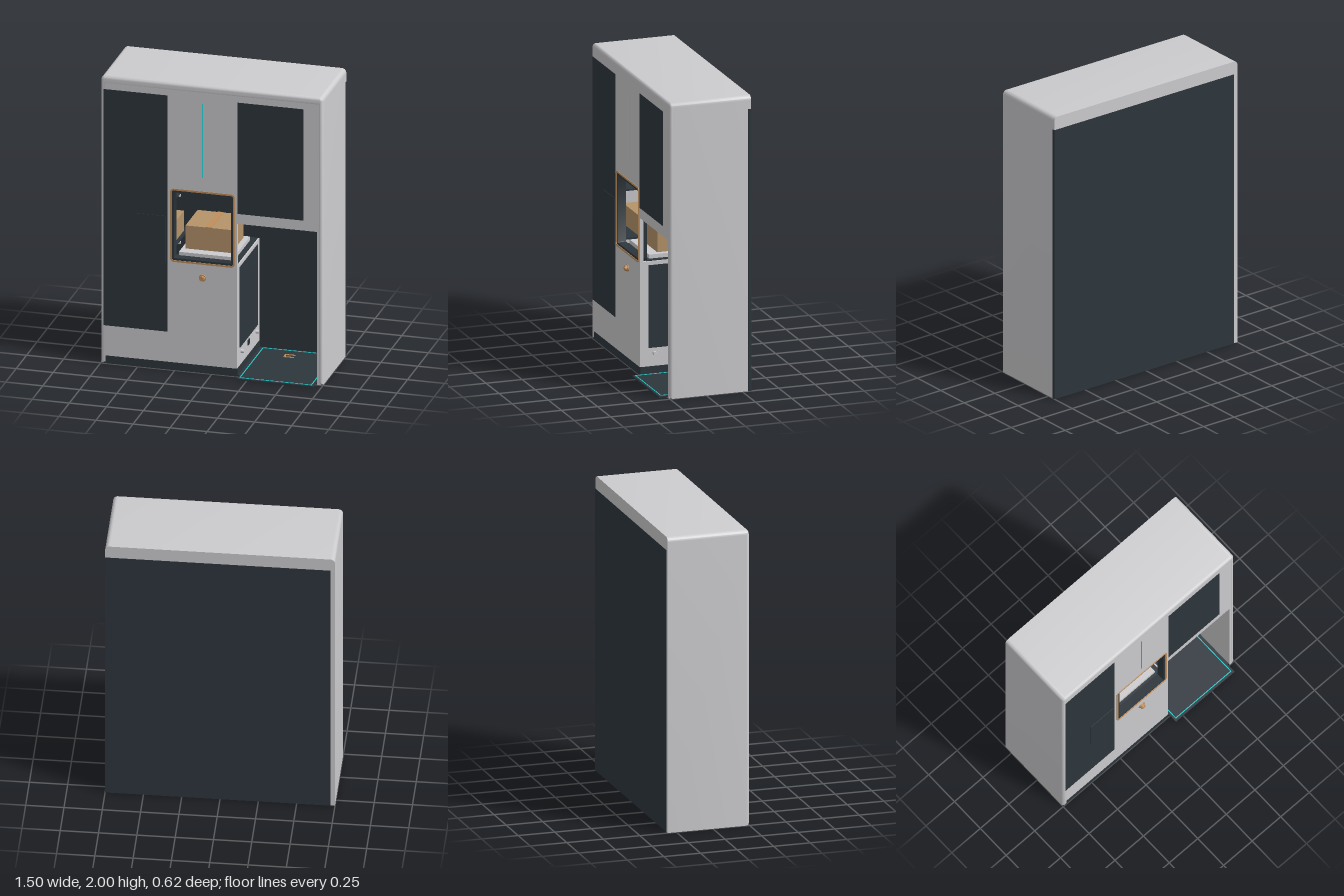
import * as THREE from 'three';
import { toCreasedNormals } from 'three/addons/utils/BufferGeometryUtils.js';

const paint = (name, color) => {
  const m = new THREE.MeshStandardMaterial({ color });
  m.name = name;
  return m;
};

export function createModel() {
  const light = paint('light grey', 0xcccbce);
  const dark = paint('dark slate', 0x2d363c);
  const copper = paint('copper', 0xc08f5c);
  const card = paint('cardboard', 0xb5936a);
  const cyan = paint('cyan', 0x22cccc);

  const model = new THREE.Group();
  const add = (name, geo, mat) => {
    const mesh = new THREE.Mesh(geo, mat);
    mesh.name = name;
    model.add(mesh);
    return mesh;
  };
  // Box given by its limits on each axis
  const block = (name, mat, x0, x1, y0, y1, z0, z1) => {
    const mesh = add(name, new THREE.BoxGeometry(x1 - x0, y1 - y0, z1 - z0), mat);
    mesh.position.set((x0 + x1) / 2, (y0 + y1) / 2, (z0 + z1) / 2);
    return mesh;
  };
  // Rectangle with rounded corners, traced into a Shape or Path
  const rounded = (p, x0, x1, y0, y1, r) => {
    p.moveTo(x0 + r, y0).lineTo(x1 - r, y0);
    p.absarc(x1 - r, y0 + r, r, -Math.PI / 2, 0);
    p.absarc(x1 - r, y1 - r, r, 0, Math.PI / 2);
    p.absarc(x0 + r, y1 - r, r, Math.PI / 2, Math.PI);
    p.absarc(x0 + r, y0 + r, r, Math.PI, Math.PI * 1.5);
    return p;
  };
  const frame = (name, mat, x0, x1, y0, y1, r, t, z0, z1) => {
    const s = rounded(new THREE.Shape(), x0, x1, y0, y1, r);
    s.holes.push(rounded(new THREE.Path(), x0 + t, x1 - t, y0 + t, y1 - t, Math.max(r - t, 0.004)));
    const geo = new THREE.ExtrudeGeometry(s, { depth: z1 - z0, bevelEnabled: false, curveSegments: 6 });
    add(name, toCreasedNormals(geo, 0.6), mat).position.z = z0;
  };

  // Outer shell: sides and top, rounded at the front and square at the back
  const arch = new THREE.Shape();
  arch.moveTo(-0.73, 0.02).lineTo(-0.728, 0.02).lineTo(-0.728, 1.96).lineTo(0.728, 1.96);
  arch.lineTo(0.728, 0.02).lineTo(0.73, 0.02).lineTo(0.73, 1.97);
  arch.absarc(0.72, 1.97, 0.01, 0, Math.PI / 2);
  arch.absarc(-0.72, 1.97, 0.01, Math.PI / 2, Math.PI);
  const shell = new THREE.ExtrudeGeometry(arch, {
    depth: 0.54, bevelSize: 0.02, bevelThickness: 0.02, bevelSegments: 5, curveSegments: 5,
  });
  shell.translate(0, 0, -0.31);
  const pos = shell.attributes.position;
  for (let i = 0; i < pos.count; i++) pos.setZ(i, Math.max(pos.getZ(i), -0.31));
  add('shell', toCreasedNormals(shell, 0.6), light);

  // Front with the service bay cut out and the pickup hatch as a hole
  const face = new THREE.Shape();
  face.moveTo(-0.73, 0.055).lineTo(0.17, 0.055).lineTo(0.17, 1.065).lineTo(0.71, 1.065);
  face.lineTo(0.71, 0).lineTo(0.73, 0).lineTo(0.73, 1.97);
  face.lineTo(0.72, 1.98).lineTo(-0.72, 1.98).lineTo(-0.73, 1.97);
  face.holes.push(rounded(new THREE.Path(), -0.275, 0.15, 0.762, 1.26, 0.02));
  const front = new THREE.ExtrudeGeometry(face, { depth: 0.025, bevelEnabled: false });
  add('frontPanel', front, light).position.z = 0.224;

  // Back, base and floor
  block('backHeader', light, -0.72, 0.72, 1.9, 1.985, -0.31, -0.29);
  block('backPanel', dark, -0.72, 0.751, 0, 1.91, -0.312, -0.29);
  block('backEdge', light, -0.735, -0.715, 0, 1.91, -0.309, -0.29);
  block('plinth', dark, -0.73, 0.172, 0, 0.055, -0.3, 0.247);
  block('bayFloor', dark, 0.17, 0.71, 0, 0.008, -0.3, 0.24);
  block('ramp', dark, 0.185, 0.7, 0, 0.01, -0.28, 0.308);

  // Glowing outline and pull on the ramp
  for (const x of [0.2, 0.683]) block('rampLight', cyan, x - 0.003, x + 0.003, 0.009, 0.013, -0.27, 0.292);
  for (const z of [-0.268, 0.29]) block('rampLight', cyan, 0.2, 0.683, 0.009, 0.013, z - 0.003, z + 0.003);
  for (const z of [-0.19, -0.15]) block('rampPull', copper, 0.37, 0.44, 0.01, 0.014, z - 0.005, z + 0.005);
  block('rampPull', copper, 0.37, 0.38, 0.01, 0.014, -0.19, -0.15);

  // Dark panels and light line on the front
  block('tallPanel', dark, -0.73, -0.3, 0.265, 1.91, 0.244, 0.251);
  block('raisedPlate', dark, -0.51, -0.31, 0.75, 1.07, 0.25, 0.255);
  block('upperPanel', dark, 0.173, 0.617, 1.135, 1.91, 0.244, 0.251);
  block('lightLine', cyan, -0.066, -0.061, 1.36, 1.875, 0.246, 0.251);

  // Pickup hatch
  frame('hatchTrim', copper, -0.281, 0.155, 0.756, 1.266, 0.025, 0.012, 0.235, 0.253);
  frame('hatchLining', dark, -0.271, 0.146, 0.766, 1.256, 0.018, 0.016, 0.19, 0.249);
  block('hatchLintel', dark, -0.26, 0.135, 1.222, 1.25, 0.13, 0.19);

  // Knob with a hexagonal collar
  const knob = [[0.026, 0.01, 0.25, 24], [0.02, 0.016, 0.261, 6], [0.013, 0.006, 0.27, 16]];
  for (const [r, h, z, n] of knob) {
    const k = add('knob', new THREE.CylinderGeometry(r * 0.9, r, h, n), copper);
    k.rotation.x = Math.PI / 2;
    k.position.set(-0.063, 0.663, z);
  }

  // Tray and parcel behind the hatch
  block('tray', light, -0.245, 0.125, 0.77, 0.797, -0.22, 0.17);
  block('trayBed', dark, -0.26, 0.16, 0.74, 0.77, -0.28, 0.2);
  block('parcel', card, -0.22, 0.09, 0.797, 0.957, -0.19, 0.1);
  block('parcelTape', copper, -0.085, -0.045, 0.956, 0.96, -0.19, 0.1);

  // Storage racks inside on the left
  for (const y of [0.45, 0.78, 1.11, 1.44]) {
    block('rack', dark, -0.7, -0.3, y, y + 0.012, -0.28, 0.18);
    for (const z of [-0.27, -0.05, 0.17]) block('rackRail', light, -0.7, -0.295, y - 0.015, y, z - 0.008, z + 0.008);
  }
  block('storedParcel', card, -0.62, -0.32, 0.792, 0.93, -0.22, 0.08);

  // Service unit beside the bay
  block('unitWall', light, 0.145, 0.17, 0.05, 0.765, -0.29, 0.235);
  block('unitWindow', dark, 0.168, 0.174, 0.18, 0.74, -0.235, 0.19);
  block('unitLatch', dark, 0.168, 0.176, 0.125, 0.16, -0.04, 0.0);
  for (const z of [-0.21, 0.15]) {
    const stud = add('unitStud', new THREE.CylinderGeometry(0.011, 0.013, 0.02, 16), light);
    stud.rotation.z = -Math.PI / 2;
    stud.position.set(0.18, 0.143, z);
  }
  return model;
}
